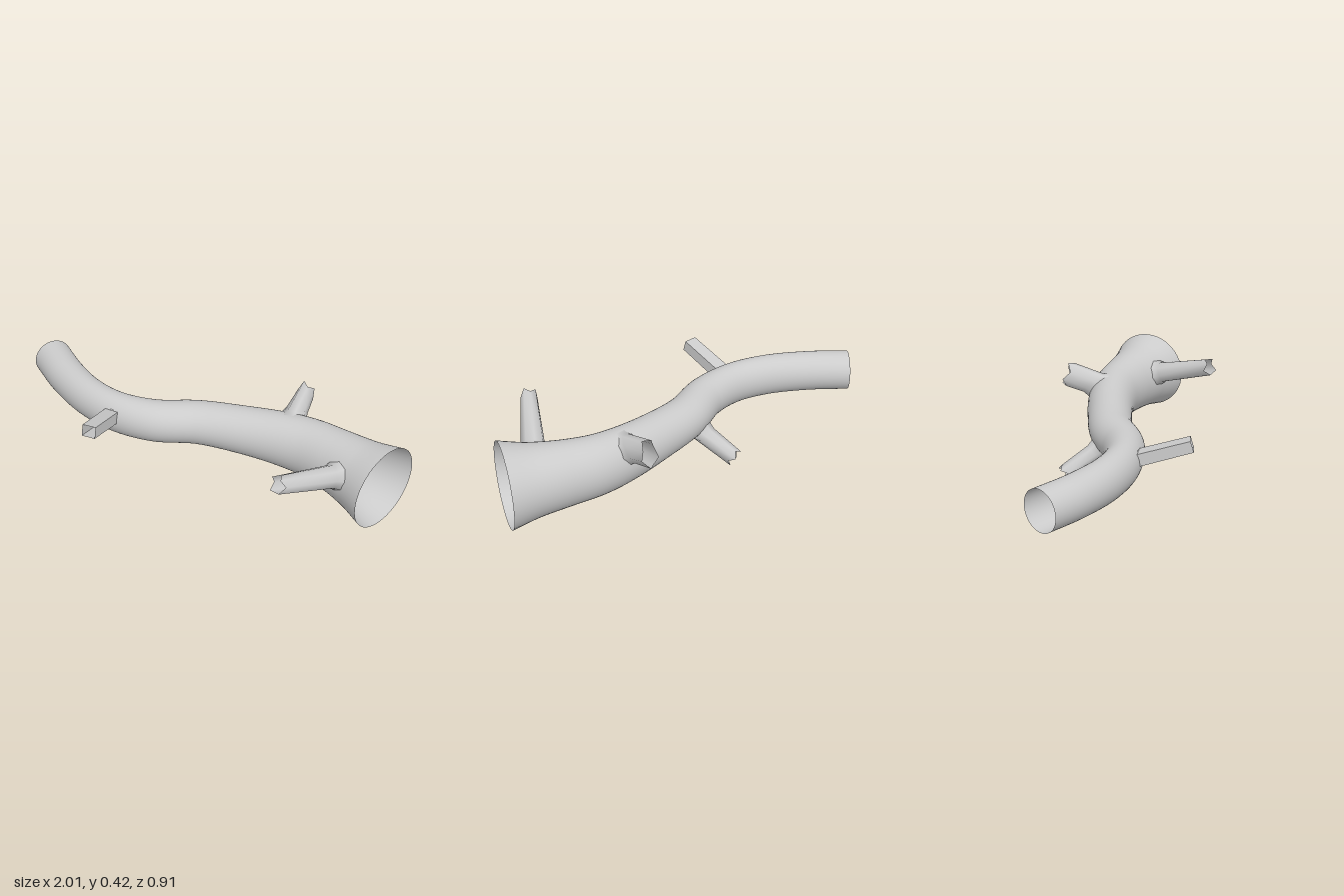
import * as THREE from 'three';

const V = (x, y, z) => new THREE.Vector3(x, y, z);
const material = new THREE.MeshStandardMaterial({ color: 0xcccccc, side: THREE.DoubleSide });
const flatMaterial = new THREE.MeshStandardMaterial({ color: 0xcccccc, side: THREE.DoubleSide, flatShading: true });

// Trunk stations: x, z, sideways radius, upright radius
const stations = [
  [-0.96, -0.04, 0.098, 0.1], [-0.77, 0.05, 0.095, 0.102], [-0.56, 0.115, 0.089, 0.105],
  [-0.37, 0.125, 0.089, 0.106], [-0.18, 0.07, 0.1, 0.106], [0, -0.05, 0.108, 0.108],
  [0.2, -0.13, 0.112, 0.12], [0.4, -0.19, 0.12, 0.137], [0.55, -0.213, 0.128, 0.148],
  [0.7, -0.205, 0.14, 0.159], [0.85, -0.185, 0.167, 0.175], [0.98, -0.165, 0.206, 0.204],
];
const path = new THREE.CatmullRomCurve3(stations.map(([x, z]) => V(x, 0.225, z)));
const radii = new THREE.CatmullRomCurve3(stations.map(([, , h, v], i) => V(h, v, i * 0.1)));

const STEPS = 170, SIDES = 48;
const frames = Array.from({ length: STEPS + 1 }, (_, i) => {
  const t = i / STEPS, r = radii.getPoint(t), tangent = path.getTangent(t);
  return { c: path.getPoint(t), side: V(-tangent.z, 0, tangent.x).normalize(), h: r.x, v: r.y };
});

function insideTrunk(p) {
  let best = frames[0], min = Infinity;
  for (const f of frames) {
    const d = Math.hypot(p.x - f.c.x, p.z - f.c.z);
    if (d < min) { min = d; best = f; }
  }
  return (min / best.h) ** 2 + ((p.y - best.c.y) / best.v) ** 2 < 1;
}

// Broken hollow branches: root, tip, [across, upright] radii at root and tip
const branches = [
  { name: 'frontSquareBranch', root: V(-0.345, 0.255, 0.2), tip: V(-0.283, 0.326, 0.432),
    r0: [0.05, 0.042], r1: [0.048, 0.04], sides: 4, roll: Math.PI / 4, flare: 1, jag: 0 },
  { name: 'frontLongBranch', root: V(0.785, 0.28, -0.04), tip: V(0.677, 0.375, 0.265),
    r0: [0.057, 0.056], r1: [0.04, 0.046], sides: 8, roll: 0.2, flare: 1.25, jag: 0.014 },
  { name: 'backUpperBranch', root: V(0.41, 0.31, -0.27), tip: V(0.383, 0.36, -0.425),
    r0: [0.05, 0.064], r1: [0.04, 0.068], sides: 8, roll: 0.39, flare: 1.2, jag: 0.014 },
  { name: 'backLowerBranch', root: V(-0.08, 0.135, -0.11), tip: V(-0.172, 0.046, -0.234),
    r0: [0.05, 0.05], r1: [0.043, 0.043], sides: 8, roll: 0.2, flare: 1.25, jag: 0.012 },
];
for (const b of branches) {
  b.axis = b.tip.clone().sub(b.root).normalize();
  b.u = V(0, 1, 0).cross(b.axis).normalize();
  b.v = b.axis.clone().cross(b.u);
}

// True where the trunk wall opens into a branch
function inOpening(p) {
  return branches.some((b) => {
    const d = p.clone().sub(b.root);
    const size = b.sides === 4 ? 0.72 : 0.98;
    return d.dot(b.axis) > -0.08 && Math.hypot(d.dot(b.u) / b.r0[0], d.dot(b.v) / b.r0[1]) < size;
  });
}

// Join rings of points into a skin; skip(centre) leaves a hole
function skin(rings, skip = () => false) {
  const n = rings[0].length, pts = rings.flat(), index = [];
  for (let i = 0; i < rings.length - 1; i++) {
    for (let j = 0; j < n; j++) {
      const k = (j + 1) % n;
      const a = i * n + j, b = i * n + k, c = a + n, d = b + n;
      const mid = pts[a].clone().add(pts[b]).add(pts[c]).add(pts[d]).multiplyScalar(0.25);
      if (!skip(mid)) index.push(a, b, c, b, d, c);
    }
  }
  const g = new THREE.BufferGeometry().setFromPoints(pts);
  g.setIndex(index);
  g.computeVertexNormals();
  return g;
}

function trunkGeometry() {
  const rings = frames.map((f) => Array.from({ length: SIDES }, (_, j) => {
    const a = -j / SIDES * Math.PI * 2;
    return f.c.clone().addScaledVector(f.side, Math.cos(a) * f.h).add(V(0, Math.sin(a) * f.v, 0));
  }));
  return skin(rings, inOpening);
}

function branchGeometry(b) {
  const foot = [], neck = [], tip = [];
  for (let j = 0; j < b.sides; j++) {
    const a = b.roll + j / b.sides * Math.PI * 2;
    const offset = (r, s) => b.u.clone().multiplyScalar(Math.cos(a) * r[0] * s)
      .addScaledVector(b.v, Math.sin(a) * r[1] * s);
    // March inward until the foot meets the trunk
    const p = b.tip.clone().add(offset(b.r0, b.flare));
    for (let s = 0; s < 200 && !insideTrunk(p); s++) p.addScaledVector(b.axis, -0.002);
    const along = p.clone().sub(b.root).dot(b.axis);
    const end = b.tip.clone().sub(b.root).dot(b.axis);
    foot.push(p);
    neck.push(b.root.clone().addScaledVector(b.axis, Math.min(along + 0.035, end - 0.03)).add(offset(b.r0, 1)));
    tip.push(b.tip.clone().add(offset(b.r1, 1)).addScaledVector(b.axis, j % 2 ? b.jag : -b.jag));
  }
  return skin([foot, neck, tip]);
}

export function createModel() {
  const group = new THREE.Group();
  group.name = 'hollowLog';
  const trunk = new THREE.Mesh(trunkGeometry(), material);
  trunk.name = 'trunk';
  group.add(trunk);
  for (const b of branches) {
    const mesh = new THREE.Mesh(branchGeometry(b), b.sides === 4 ? flatMaterial : material);
    mesh.name = b.name;
    group.add(mesh);
  }
  return group;
}
